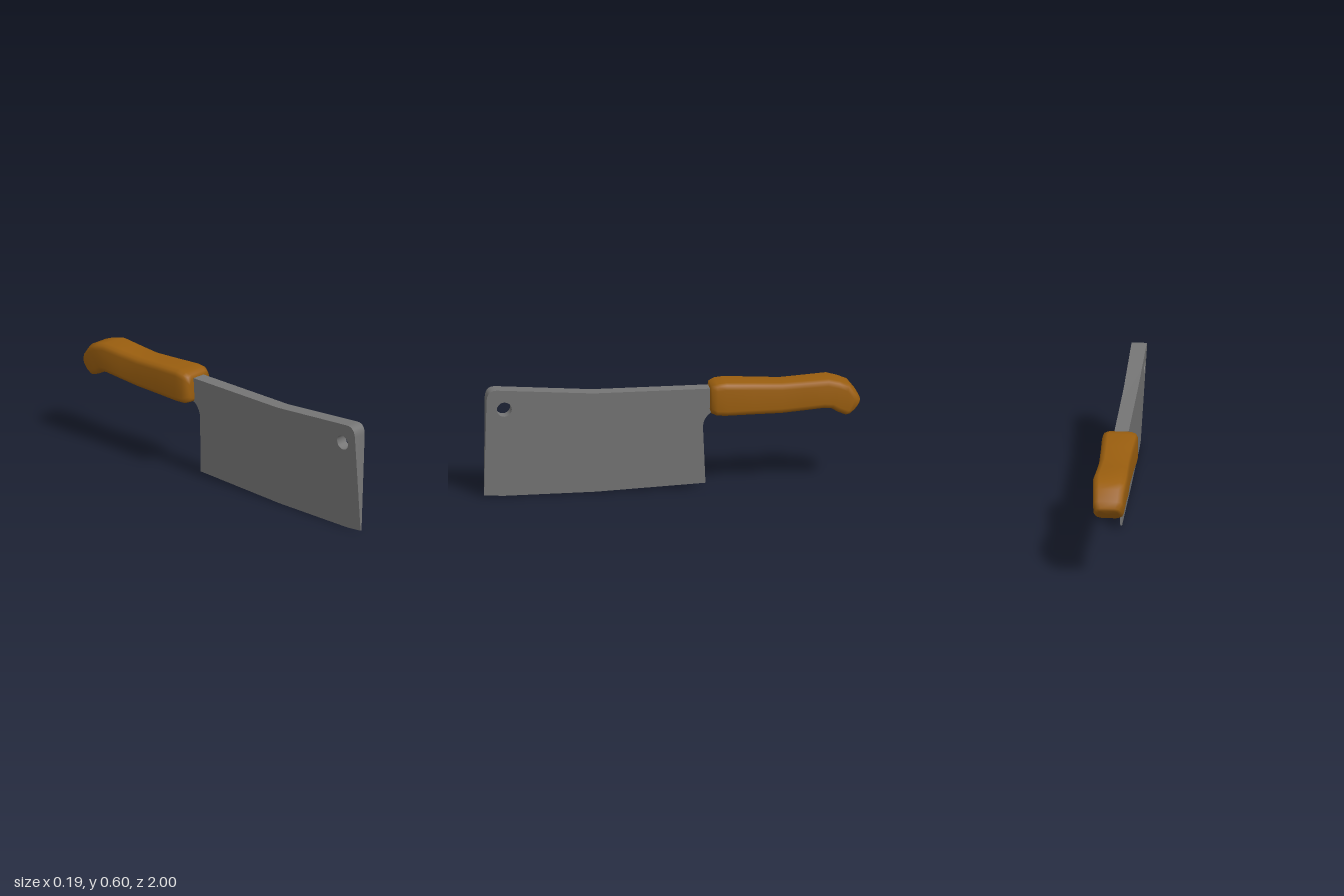
import * as THREE from 'three';
import { toCreasedNormals } from 'three/addons/utils/BufferGeometryUtils.js';

const steel = new THREE.MeshStandardMaterial({ color: 0x757575 });
steel.name = 'steel';
const wood = new THREE.MeshStandardMaterial({ color: 0x9a5e0f });
wood.name = 'wood';

// Blade: side outline with a hanging hole, wedge-shaped from spine to edge
function bladeGeometry() {
  const s = new THREE.Shape();
  s.moveTo(0.999, 0.008);
  s.lineTo(0.99, 0.54);
  s.bezierCurveTo(0.988, 0.58, 0.97, 0.599, 0.93, 0.596);
  s.lineTo(0.42, 0.557);
  s.lineTo(-0.23, 0.556);
  s.lineTo(-0.23, 0.42);
  s.lineTo(-0.205, 0.42);
  s.quadraticCurveTo(-0.165, 0.39, -0.165, 0.34);
  s.lineTo(-0.181, 0.025);
  s.lineTo(0.4, 0.001);
  s.lineTo(0.9, 0);
  const hole = new THREE.Path();
  hole.absarc(0.895, 0.487, 0.04, 0, Math.PI * 2, true);
  s.holes.push(hole);

  const geo = new THREE.ExtrudeGeometry(s, { depth: 2, bevelEnabled: false, curveSegments: 10 });
  geo.translate(0, 0, -1);
  geo.rotateY(-Math.PI / 2);
  const p = geo.attributes.position;
  for (let i = 0; i < p.count; i++) {
    const half = 0.003 + 0.0625 * p.getY(i);
    p.setX(i, p.getX(i) * half + 0.004 * p.getZ(i));
  }
  return toCreasedNormals(geo, 0.6);
}

// Handle: rounded-rectangle rings lofted along the grip, slanted at the butt
// [top z, top y, bottom z, bottom y, half width]
const RINGS = [
  [-0.2, 0.555, -0.2, 0.44, 0.065],
  [-0.206, 0.575, -0.206, 0.424, 0.083],
  [-0.235, 0.586, -0.235, 0.412, 0.094],
  [-0.285, 0.592, -0.29, 0.409, 0.093],
  [-0.43, 0.584, -0.43, 0.409, 0.087],
  [-0.58, 0.576, -0.58, 0.409, 0.083],
  [-0.7, 0.582, -0.69, 0.419, 0.087],
  [-0.83, 0.589, -0.8, 0.43, 0.092],
  [-0.89, 0.573, -0.845, 0.425, 0.088],
  [-0.94, 0.553, -0.878, 0.404, 0.084],
  [-0.982, 0.5, -0.92, 0.385, 0.08],
  [-1.0, 0.468, -0.938, 0.387, 0.07],
  [-0.998, 0.452, -0.955, 0.398, 0.055],
];

function handleGeometry() {
  const pos = [], index = [], per = 3, n = per * 4;
  for (const [zt, yt, zb, yb, w] of RINGS) {
    const h = Math.hypot(zt - zb, yt - yb) / 2;
    const r = Math.min(0.032, h * 0.75, w * 0.75);
    for (let c = 0; c < 4; c++) {
      const sx = c === 0 || c === 3 ? 1 : -1, sy = c < 2 ? 1 : -1;
      for (let k = 0; k < per; k++) {
        const a = (c + k / (per - 1)) * Math.PI / 2;
        const x = sx * (w - r) + Math.cos(a) * r;
        const t = ((sy * (h - r) + Math.sin(a) * r) / h + 1) / 2;
        pos.push(x - 0.001, yb + (yt - yb) * t, zb + (zt - zb) * t);
      }
    }
  }
  for (let i = 0; i < RINGS.length - 1; i++) {
    for (let j = 0; j < n; j++) {
      const a = i * n + j, b = i * n + (j + 1) % n;
      index.push(a, a + n, b, a + n, b + n, b);
    }
  }
  // End caps
  [0, RINGS.length - 1].forEach((i) => {
    const [zt, yt, zb, yb] = RINGS[i];
    const centre = pos.length / 3;
    pos.push(-0.001, (yt + yb) / 2, (zt + zb) / 2);
    for (let j = 0; j < n; j++) {
      const a = i * n + j, b = i * n + (j + 1) % n;
      if (i === 0) index.push(centre, a, b);
      else index.push(centre, b, a);
    }
  });
  const geo = new THREE.BufferGeometry();
  geo.setAttribute('position', new THREE.Float32BufferAttribute(pos, 3));
  geo.setIndex(index);
  geo.computeVertexNormals();
  return geo;
}

export function createModel() {
  const group = new THREE.Group();
  group.name = 'cleaver';
  const blade = new THREE.Mesh(bladeGeometry(), steel);
  blade.name = 'blade';
  const handle = new THREE.Mesh(handleGeometry(), wood);
  handle.name = 'handle';
  group.add(blade, handle);
  return group;
}
